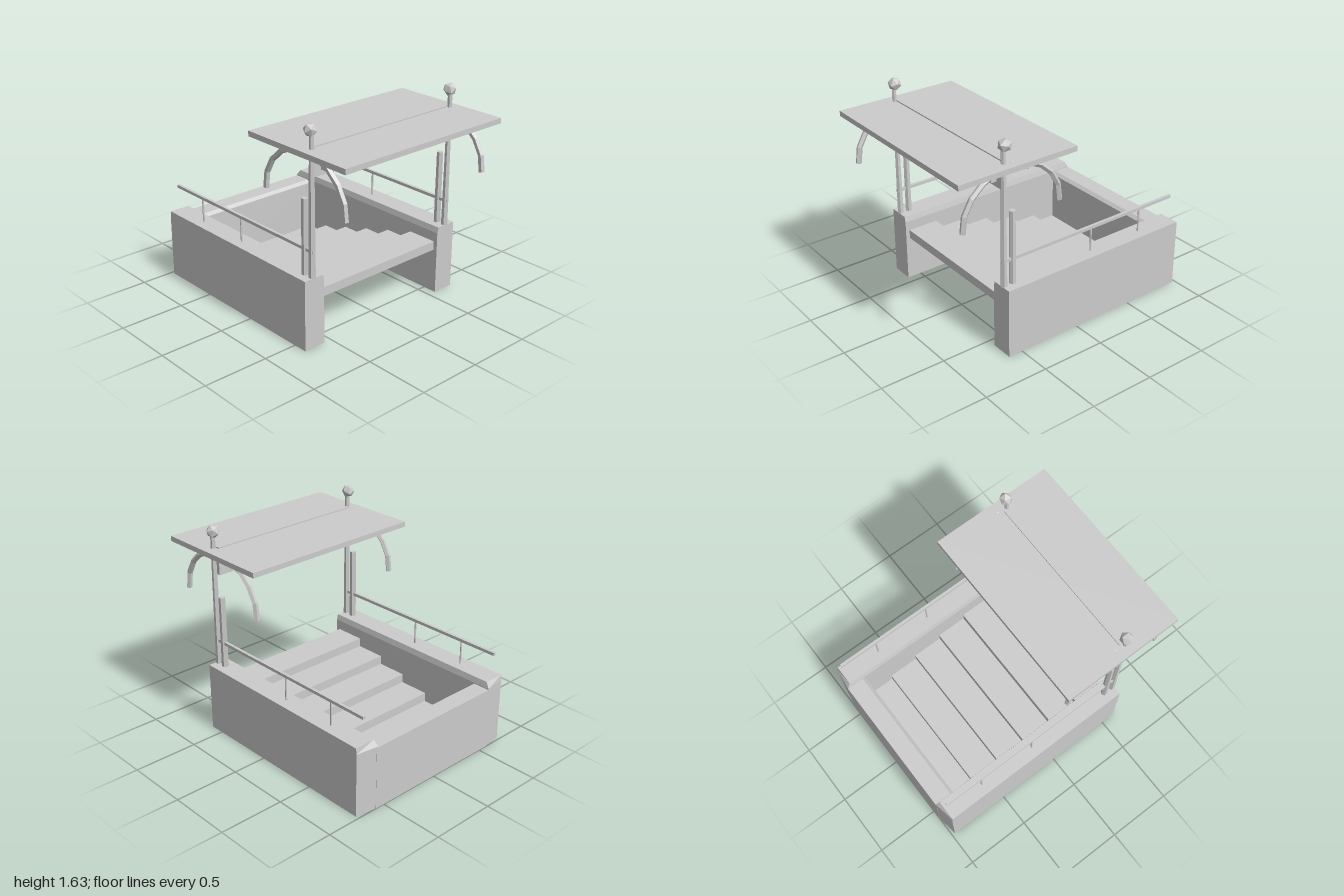
import * as THREE from 'three';

const mat = new THREE.MeshStandardMaterial({ color: 0xcccccc, flatShading: true, side: THREE.DoubleSide });

export function createModel() {
  const model = new THREE.Group();

  const add = (name, geo, x = 0, y = 0, z = 0) => {
    const mesh = new THREE.Mesh(geo, mat);
    mesh.name = name;
    mesh.position.set(x, y, z);
    model.add(mesh);
    return mesh;
  };

  // Box given by its lower and upper corners
  const box = (name, a, b) => add(name,
    new THREE.BoxGeometry(b[0] - a[0], b[1] - a[1], b[2] - a[2]),
    (a[0] + b[0]) / 2, (a[1] + b[1]) / 2, (a[2] + b[2]) / 2);

  // Box with three rings of corners, each placed by rule(x, level, z);
  // x and z are -1 or 1, level is 0 (bottom), 1 (chamfer) or 2 (top)
  const shapedBox = (name, rule) => {
    const geo = new THREE.BoxGeometry(2, 2, 2, 1, 2, 1);
    const p = geo.attributes.position;
    for (let i = 0; i < p.count; i++) {
      p.setXYZ(i, ...rule(p.getX(i), Math.round(p.getY(i)) + 1, p.getZ(i)));
    }
    geo.computeVertexNormals();
    return add(name, geo);
  };

  // Stairs going down towards the back
  const rise = 0.069, run = 0.2425;
  for (let i = 0; i < 6; i++) {
    const top = 0.414 - i * rise, front = 0.58 - i * run;
    box('step', [-0.575, top - rise, front - run], [0.575, top, front]);
  }

  // Back wall with its inner top edge chamfered
  shapedBox('backWall', (x, level, z) => [
    x * 0.575,
    [0, 0.461, 0.483][level],
    z < 0 ? -1 : level === 2 ? -0.865 : -0.84,
  ]);

  for (const s of [-1, 1]) {
    // Side wall, chamfered along the inner and back edges
    shapedBox('sideWall', (x, level, z) => {
      const inner = x * s < 0;
      const back = level === 2 ? -0.97 : inner ? -1 : -0.975;
      return [
        s * (inner ? (level === 2 ? 0.575 : 0.565) : 0.738),
        [0, 0.49, 0.535][level],
        z > 0 ? 0.612 : back,
      ];
    });

    // Handrail and its thin supports
    box('handrail', [s * 0.658 - 0.011, 0.717, -0.96], [s * 0.658 + 0.011, 0.74, 0.615]);
    for (const z of [-0.18, -0.645]) {
      add('handrailSupport', new THREE.CylinderGeometry(0.007, 0.007, 0.2, 6), s * 0.658, 0.625, z);
    }

    // Tall lamp post and the short post behind it
    add('lampPost', new THREE.CylinderGeometry(0.017, 0.025, 1.04, 6), s * 0.657, 1.05, 0.594);
    add('shortPost', new THREE.CylinderGeometry(0.024, 0.026, 0.565, 6), s * 0.657, 0.812, 0.522);

    // Faceted lamp
    const lamp = add('lamp', new THREE.IcosahedronGeometry(0.05), s * 0.66, 1.585, 0.585);
    lamp.rotation.set(0.3, s * 0.5, 0.2);

    // Curved bracket holding the roof
    const half = [[0.4, 1.05], [0.375, 1.2], [0.27, 1.335], [0.14, 1.405]];
    const points = [
      ...half.map(([dz, y]) => new THREE.Vector3(0, y, 0.522 + dz)),
      new THREE.Vector3(0, 1.437, 0.522),
      ...half.slice().reverse().map(([dz, y]) => new THREE.Vector3(0, y, 0.522 - dz)),
    ];
    const arch = new THREE.CatmullRomCurve3(points);
    add('roofBracket', new THREE.TubeGeometry(arch, 10, 0.022, 5), s * 0.657);
  }

  // Flat roof
  box('roof', [-0.738, 1.415, 0.04], [0.738, 1.455, 1]);

  // Cross beam through the roof, with a blank panel on its front
  box('crossBeam', [-0.64, 1.25, 0.556], [0.64, 1.464, 0.586]);
  shapedBox('frontPanel', (x, level, z) => [
    x * 0.57,
    [1.29, 1.35, 1.41][level],
    z < 0 ? 0.58 : 0.63 + level * 0.005,
  ]);

  return model;
}
